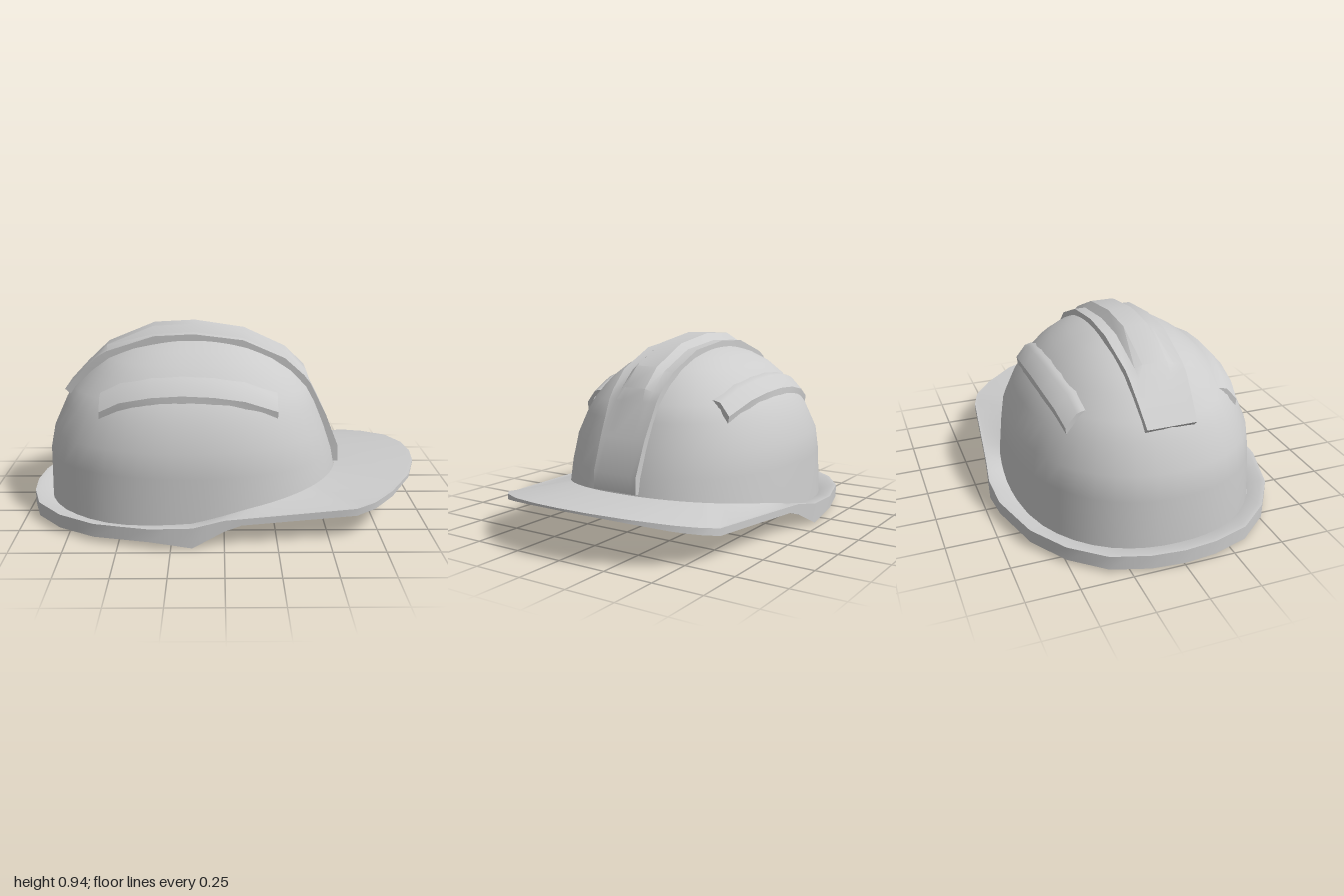
import * as THREE from 'three';
import { toCreasedNormals } from 'three/addons/utils/BufferGeometryUtils.js';

const CX = -0.17; // x of the widest part of the dome
const POWER = 2.25; // roundness of the dome plan

// Dome levels: [y, back x, front x, half width]
const LEVELS = [
  [0.02, -0.91, 0.59, 0.615], [0.3, -0.905, 0.57, 0.6], [0.42, -0.88, 0.53, 0.587],
  [0.55, -0.82, 0.48, 0.53], [0.63, -0.77, 0.44, 0.48], [0.72, -0.68, 0.36, 0.4],
  [0.78, -0.61, 0.28, 0.33], [0.83, -0.5, 0.18, 0.25], [0.87, -0.36, 0.07, 0.15],
  [0.893, -0.18, -0.16, 0.01],
];

// Brim outline, front to back: [x, z]
const OUTLINE = [
  [1, 0], [0.985, 0.15], [0.93, 0.32], [0.82, 0.48], [0.72, 0.575], [0.63, 0.608],
  [0, 0.685], [-0.15, 0.705], [-0.35, 0.7], [-0.62, 0.62], [-0.8, 0.5], [-0.93, 0.34],
  [-0.985, 0.16], [-1, 0],
];

// Heights along x: [x, y]
const OPENING = [[-1, 0.015], [-0.35, 0.03], [-0.15, 0.03], [0, 0.1], [0.1, 0.125], [0.6, 0.2]];
const GROOVE = [[-1, 0.06], [-0.5, 0.06], [-0.15, 0.085], [0.1, 0.145], [0.3, 0.175], [0.6, 0.218]];
const EDGE_TOP = [[-1, 0.08], [-0.5, 0.09], [-0.15, 0.1], [0, 0.13], [0.63, 0.155], [0.8, 0.19], [1, 0.24]];
const EDGE_BOTTOM = [[-1, 0.01], [-0.35, 0.03], [-0.15, 0], [0.05, 0.1], [0.63, 0.12], [0.8, 0.16], [1, 0.23]];
const BAR_TOP = [[-0.6, 0.65], [-0.5, 0.7], [-0.35, 0.73], [-0.2, 0.74], [-0.05, 0.733], [0.1, 0.71], [0.26, 0.65]];

// Piecewise linear lookup in a table sorted by its first column
function lookup(table, v, col = 1) {
  let i = 0;
  while (i < table.length - 2 && v > table[i + 1][0]) i++;
  const t = THREE.MathUtils.clamp((v - table[i][0]) / (table[i + 1][0] - table[i][0]), 0, 1);
  return THREE.MathUtils.lerp(table[i][col], table[i + 1][col], t);
}

// Plan point of a dome level in direction phi
function ringPoint([, back, front, half], phi) {
  const c = Math.cos(phi), s = Math.sin(phi);
  const a = c > 0 ? front - CX : CX - back;
  const r = (Math.abs(c / a) ** POWER + Math.abs(s / half) ** POWER) ** (-1 / POWER);
  return [CX + r * c, r * s];
}

// Half width of the dome at (x, y)
function domeZ(x, y) {
  const a = x > CX ? lookup(LEVELS, y, 2) - CX : CX - lookup(LEVELS, y, 1);
  const u = Math.min(1, Math.abs((x - CX) / a));
  return lookup(LEVELS, y, 3) * (1 - u ** POWER) ** (1 / POWER);
}

// Surface through rows of points, optionally wrapped around
function loft(rows, wrap, crease) {
  const n = rows[0].length, index = [];
  for (let i = 0; i < rows.length - 1; i++) {
    for (let j = 0; j < (wrap ? n : n - 1); j++) {
      const k = (j + 1) % n, a = i * n + j, b = a + n, c = i * n + k, d = c + n;
      index.push(a, b, c, c, b, d);
    }
  }
  const geo = new THREE.BufferGeometry();
  geo.setAttribute('position', new THREE.Float32BufferAttribute(rows.flat(2), 3));
  geo.setIndex(index);
  if (crease) return toCreasedNormals(geo, crease);
  geo.computeVertexNormals();
  return geo;
}

// Add collapsed rows that close both ends
function capped(rows) {
  const collapse = (row) => {
    const m = [0, 1, 2].map((k) => row.reduce((s, p) => s + p[k], 0) / row.length);
    return row.map(() => m);
  };
  return [collapse(rows[0]), ...rows, collapse(rows[rows.length - 1])];
}

function domeGeometry() {
  const SEG = 48;
  const rows = LEVELS.map((level, i) => Array.from({ length: SEG }, (_, j) => {
    const [x, z] = ringPoint(level, (j / SEG) * Math.PI * 2);
    return [x, i === 0 ? lookup(OPENING, x) : level[0], z];
  }));
  return loft(rows, true);
}

function brimGeometry() {
  // Full outline, with the long straight sides subdivided
  const mirrored = OUTLINE.slice(1, -1).reverse().map(([x, z]) => [x, -z]);
  const corners = [...OUTLINE, ...mirrored];
  const outline = corners.flatMap(([x, z], i) => {
    const [x2, z2] = corners[(i + 1) % corners.length];
    const n = Math.abs(x2 - x) > 0.4 ? 8 : 2;
    return Array.from({ length: n }, (_, k) => [x + (x2 - x) * k / n, z + (z2 - z) * k / n]);
  });
  // Section: opening, lower edge, upper edge, lip, groove against the dome
  const rows = [[], [], [], [], []];
  for (const [x, z] of outline) {
    const [qx, qz] = ringPoint(LEVELS[0], Math.atan2(z, x - CX));
    const d = 0.022 / Math.hypot(qx - x, qz - z);
    rows[0].push([qx, lookup(OPENING, qx), qz]);
    rows[1].push([x, lookup(EDGE_BOTTOM, x), z]);
    rows[2].push([x, lookup(EDGE_TOP, x), z]);
    rows[3].push([x + (qx - x) * d, lookup(EDGE_TOP, x), z + (qz - z) * d]);
    rows[4].push([qx, lookup(GROOVE, qx), qz]);
  }
  return loft(rows, true, 0.6);
}

function sideBarGeometry() {
  const rows = BAR_TOP.map(([x, y]) => [
    [x, y - 0.12, domeZ(x, y - 0.12) - 0.01],
    [x, y - 0.07, domeZ(x, y - 0.07) + 0.03],
    [x, y - 0.008, domeZ(x, y) + 0.04],
    [x, y, domeZ(x, y) + 0.015],
    [x, y + 0.004, domeZ(x, y) - 0.02],
  ]);
  return loft(capped(rows), false, 0.7);
}

function crestGeometry() {
  // Stations: [x, y, half width, height of the raised middle]
  const path = [
    [-0.81, 0.615, 0.12, 0], [-0.72, 0.71, 0.13, 0], [-0.64, 0.785, 0.138, 0],
    [-0.59, 0.815, 0.14, 0.018], [-0.35, 0.893, 0.15, 0.037], [-0.15, 0.903, 0.15, 0.037],
    [0.1, 0.872, 0.15, 0.03], [0.31, 0.78, 0.148, 0.025], [0.41, 0.69, 0.142, 0.02],
    [0.445, 0.645, 0.14, 0], [0.53, 0.475, 0.13, 0], [0.595, 0.31, 0.125, 0], [0.598, 0.225, 0.125, 0],
  ];
  const rows = path.map(([x, y, w, h], i) => {
    const p = path[Math.max(0, i - 1)], q = path[Math.min(path.length - 1, i + 1)];
    const len = Math.hypot(q[0] - p[0], q[1] - p[1]);
    const nx = -(q[1] - p[1]) / len, ny = (q[0] - p[0]) / len;
    const half = [[w, -0.06], [w, 0], [0.095, 0], [0.06, h]];
    const section = [...half, ...half.slice().reverse().map(([z, o]) => [-z, o])];
    return section.map(([z, o]) => [x + nx * o, y + ny * o, z]);
  });
  return loft(capped(rows), false, 0.6);
}

export function createModel() {
  const group = new THREE.Group();
  group.name = 'hardHat';
  const shell = new THREE.MeshStandardMaterial({ color: 0xcccccc, side: THREE.DoubleSide });
  shell.name = 'lightGreyShell';
  const add = (name, geometry) => {
    const mesh = new THREE.Mesh(geometry, shell);
    mesh.name = name;
    group.add(mesh);
    return mesh;
  };

  add('dome', domeGeometry());
  add('brim', brimGeometry());
  add('centreCrest', crestGeometry());

  // Raised bar on each side
  const bar = sideBarGeometry();
  add('rightSideBar', bar);
  add('leftSideBar', bar).scale.z = -1;
  return group;
}
